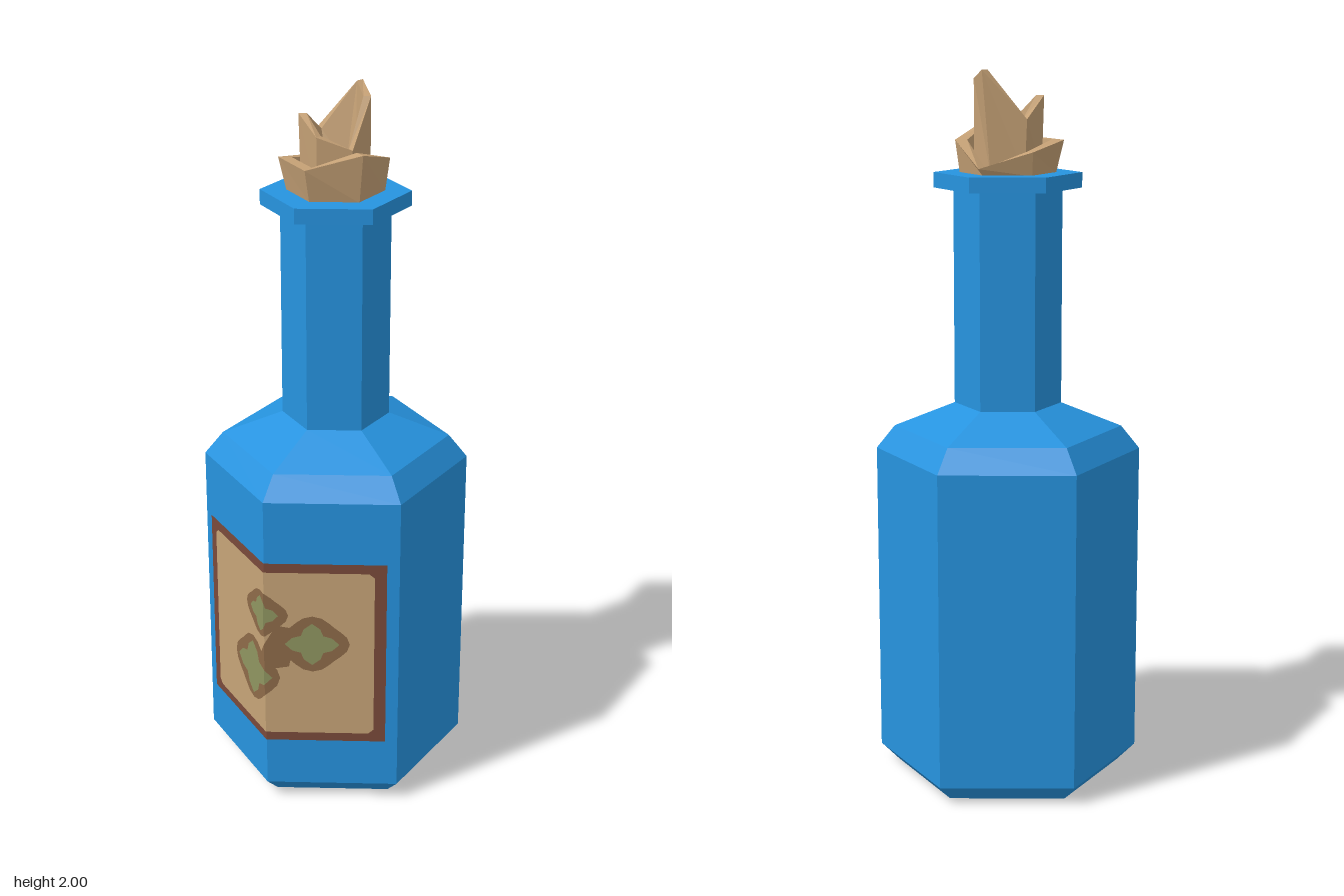
import * as THREE from 'three';

const mat = (name, color, extra = {}) => {
  const m = new THREE.MeshStandardMaterial({ color, ...extra });
  m.name = name;
  return m;
};

// Faceted mesh: every face gets its own normal
function facetMesh(name, geometry, material) {
  const g = geometry.index ? geometry.toNonIndexed() : geometry;
  g.computeVertexNormals();
  const mesh = new THREE.Mesh(g, material);
  mesh.name = name;
  return mesh;
}

// Skin over equal-length rings of [x, y, z]; the last ring may close on a point
function loft(rings) {
  const pos = [];
  const n = rings[0].length;
  for (let i = 0; i < rings.length - 1; i++) {
    for (let j = 0; j < n; j++) {
      const k = (j + 1) % n;
      const a = rings[i][j], b = rings[i][k], c = rings[i + 1][k], d = rings[i + 1][j];
      pos.push(...a, ...b, ...d, ...b, ...c, ...d);
    }
  }
  const g = new THREE.BufferGeometry();
  g.setAttribute('position', new THREE.Float32BufferAttribute(pos, 3));
  return g;
}

const scaleRing = (ring, s, y) => ring.map(p => [p[0] * s, y === undefined ? p[1] : y, p[2] * s]);

// Keep the part of a polygon on one side of x = 0
function clip(points, side) {
  const out = [];
  points.forEach((p, i) => {
    const q = points[(i + 1) % points.length];
    const pin = p[0] * side >= 0, qin = q[0] * side >= 0;
    if (pin) out.push(p);
    if (pin !== qin) out.push([0, p[1] + (q[1] - p[1]) * (-p[0] / (q[0] - p[0]))]);
  });
  return out;
}

const FRONT = 0.372, SLOPE = Math.tan(Math.PI / 6);

// Flat outline folded over the front edge of the bottle
function foldedDecal(name, points, lift, material) {
  const group = new THREE.Group();
  group.name = name;
  for (const side of [-1, 1]) {
    const half = clip(points, side);
    if (half.length < 3) continue;
    const g = new THREE.ShapeGeometry(new THREE.Shape(half.map(p => new THREE.Vector2(p[0], p[1]))));
    const pos = g.attributes.position;
    for (let i = 0; i < pos.count; i++) {
      pos.setZ(i, FRONT + lift - Math.abs(pos.getX(i)) * SLOPE);
    }
    group.add(facetMesh(name + (side > 0 ? 'Left' : 'Right'), g, material));
  }
  return group;
}

// Rectangle with cut corners
const panel = (w, y0, y1, c) => [
  [-w + c, y0], [w - c, y0], [w, y0 + c], [w, y1 - c],
  [w - c, y1], [-w + c, y1], [-w, y1 - c], [-w, y0 + c],
];

// Four-lobed outline; lobe sets how far the arms stand out
function clover(cx, cy, rx, ry, lobe, count) {
  return Array.from({ length: count }, (_, i) => {
    const a = (i / count) * Math.PI * 2;
    const r = 1 - lobe * (1 - Math.cos(4 * a)) / 2;
    return [cx + rx * r * Math.cos(a), cy + ry * r * Math.sin(a)];
  });
}

export function createModel() {
  const blue = mat('blueGlass', 0x2693df);
  const tan = mat('tanCloth', 0xc4a075, { side: THREE.DoubleSide });
  const paper = mat('labelPaper', 0xc6a477);
  const border = mat('labelBorder', 0x7a4a3a);
  const brown = mat('printBrown', 0x8e6a49);
  const green = mat('printGreen', 0x8f9560);

  const model = new THREE.Group();
  model.name = 'bottle';

  // Six-sided bottle with chamfered base, shoulder and neck
  const turned = (name, pts) => facetMesh(name,
    new THREE.LatheGeometry(pts.map(p => new THREE.Vector2(p[0], p[1])), 6), blue);
  model.add(turned('bottleBody', [
    [0, 0], [0.32, 0], [0.372, 0.05], [0.372, 0.945], [0.32, 1.01], [0.15, 1.077], [0.15, 1.69],
  ]));
  model.add(turned('collar', [[0, 1.68], [0.204, 1.68], [0.204, 1.722], [0, 1.722]]));

  // Label wrapped over the two front faces
  const label = new THREE.Group();
  label.name = 'label';
  label.add(foldedDecal('labelBorder', panel(0.293, 0.195, 0.762, 0), 0.002, border));
  label.add(foldedDecal('labelPaper', panel(0.265, 0.222, 0.735, 0.013), 0.004, paper));
  const flowers = [
    [-0.016, 0.602, 0.075, 0.072, 0.052, 0.056],
    [0.117, 0.513, 0.09, 0.088, 0.066, 0.066],
    [-0.06, 0.403, 0.098, 0.102, 0.08, 0.085],
  ];
  flowers.forEach(([x, y, rx, ry, gx, gy], i) => {
    label.add(foldedDecal('flowerOutline' + i, clover(x, y, rx, ry, 0.16, 24), 0.006, brown));
    label.add(foldedDecal('flower' + i, clover(x, y, gx, gy, 0.42, 16), 0.008, green));
  });
  label.add(foldedDecal('stem', [
    [-0.02, 0.47], [0.01, 0.43], [0.06, 0.44], [0.08, 0.56], [0.03, 0.57], [0.0, 0.51],
  ], 0.006, brown));
  model.add(label);

  // Crumpled cloth stopper: low outer wrap, ragged rim running from the front round by +x
  const wrapTop = [
    [0, 1.81, 0.153], [0.129, 1.85, 0.073], [0.122, 1.81, -0.077],
    [0.005, 1.74, -0.147], [-0.125, 1.785, -0.08], [-0.135, 1.81, 0.073],
  ];
  const wrapBase = Array.from({ length: 6 }, (_, i) => {
    const a = i * Math.PI / 3;
    return [0.132 * Math.sin(a), 1.72, 0.132 * Math.cos(a)];
  });
  model.add(facetMesh('clothWrap', loft([
    wrapBase, wrapTop, scaleRing(wrapTop, 0.77), scaleRing(wrapBase, 0.72, 1.725),
  ]), tan));

  // Taller inner twist with a pointed back and a hollow middle
  const twistTop = [
    [0, 1.885, 0.096], [0.08, 1.85, 0.045], [0.078, 1.975, -0.05],
    [0.015, 2.0, -0.112], [-0.092, 1.87, -0.055], [-0.085, 1.93, 0.05],
  ];
  model.add(facetMesh('clothTwist', loft([
    scaleRing(wrapBase, 0.7), twistTop, scaleRing(twistTop, 0.78),
    scaleRing(wrapBase, 0.4, 1.78), scaleRing(wrapBase, 0, 1.76),
  ]), tan));

  return model;
}
